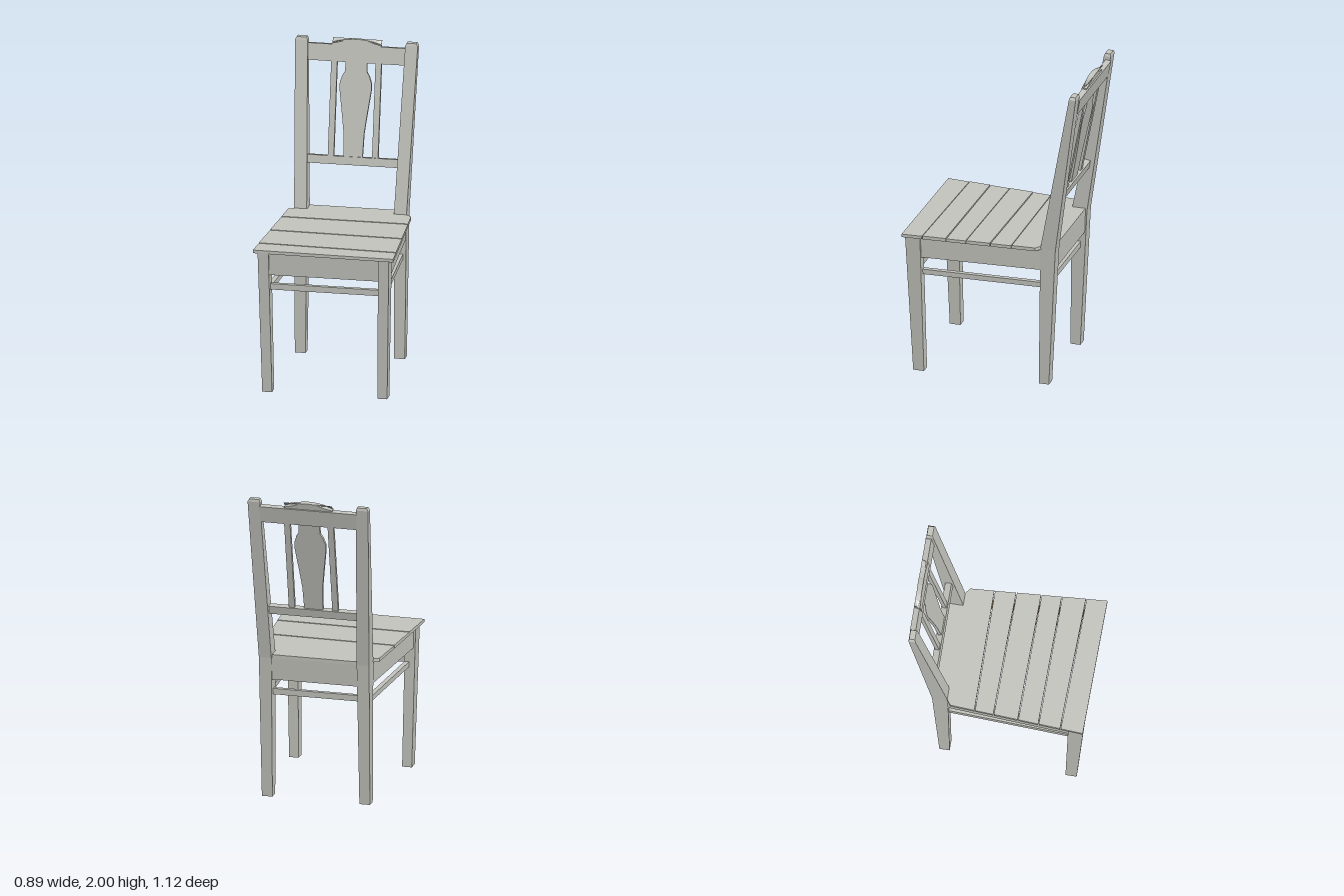
import * as THREE from 'three';

const paint = new THREE.MeshStandardMaterial({ color: 0xc6c6c0 });
paint.name = 'greyPaint';
const rawWood = new THREE.MeshStandardMaterial({ color: 0x6e5036 });
rawWood.name = 'rawWood';

// Ring of four corners at height y, counter-clockwise from above.
const rect = (x0, x1, y, z0, z1) => [[x0, y, z0], [x0, y, z1], [x1, y, z1], [x1, y, z0]];
const plan = (pts, y) => pts.map(([x, z]) => [x, y, z]);
const mirror = (rings) => rings.map((r) => r.map(([x, y, z]) => [-x, y, z]).reverse());

// Flat-faced solid through a stack of convex rings; chosen sides or the bottom may be raw wood.
function loft(name, rings, { rawSides = [], rawBottom = false } = {}) {
  const pos = [];
  const geo = new THREE.BufferGeometry();
  const n = rings[0].length;
  const tri = (a, b, c, raw) => {
    geo.addGroup(pos.length / 3, 3, raw ? 1 : 0);
    pos.push(...a, ...b, ...c);
  };
  for (let r = 0; r + 1 < rings.length; r++) {
    for (let i = 0; i < n; i++) {
      const j = (i + 1) % n, lo = rings[r], up = rings[r + 1], raw = rawSides.includes(i);
      tri(lo[i], lo[j], up[j], raw);
      tri(lo[i], up[j], up[i], raw);
    }
  }
  const bottom = rings[0], top = rings[rings.length - 1];
  for (let i = 1; i + 1 < n; i++) {
    tri(bottom[0], bottom[i + 1], bottom[i], rawBottom);
    tri(top[0], top[i], top[i + 1], false);
  }
  geo.setAttribute('position', new THREE.Float32BufferAttribute(pos, 3));
  geo.computeVertexNormals();
  const mesh = new THREE.Mesh(geo, [paint, rawWood]);
  mesh.name = name;
  return mesh;
}

// Board cut from an outline, its front face at local z = front.
function board(name, pts, depth, front = 0) {
  const shape = new THREE.Shape(pts.map(([x, y]) => new THREE.Vector2(x, y)));
  const geo = new THREE.ExtrudeGeometry(shape, { depth, bevelEnabled: false });
  geo.translate(0, 0, front - depth);
  const mesh = new THREE.Mesh(geo, paint);
  mesh.name = name;
  return mesh;
}
const symmetric = (half) => [...half, ...half.map(([x, y]) => [-x, y]).reverse()];

export function createModel() {
  const chair = new THREE.Group();
  chair.name = 'chair';
  const pair = (name, rings, opts = {}, mirrorOpts = opts) => chair.add(
    loft(name + 'Left', rings, opts), loft(name + 'Right', mirror(rings), mirrorOpts));

  // Tapered front legs and raked back posts with chamfered tops
  pair('frontLeg', [rect(0.333, 0.395, 0, 0.43, 0.5), rect(0.347, 0.415, 0.916, 0.45, 0.547)],
    { rawBottom: true });
  pair('backPost', [
    rect(0.28, 0.348, 0, -0.37, -0.305),
    rect(0.275, 0.355, 0.92, -0.415, -0.316),
    rect(0.309, 0.388, 1.975, -0.558, -0.514),
    rect(0.316, 0.378, 1.992, -0.555, -0.519),
  ], { rawBottom: true });

  // Aprons, bare on the inside
  const sideApron = [[0.325, -0.32], [0.375, 0.46], [0.402, 0.46], [0.35, -0.32]];
  pair('sideApron', [plan(sideApron, 0.775), plan(sideApron, 0.916)],
    { rawSides: [0], rawBottom: false }, { rawSides: [2] });
  chair.add(
    loft('frontApron', [rect(-0.35, 0.35, 0.775, 0.505, 0.53), rect(-0.35, 0.35, 0.916, 0.51, 0.535)],
      { rawSides: [3] }),
    loft('backApron', [rect(-0.28, 0.28, 0.775, -0.4, -0.375), rect(-0.28, 0.28, 0.916, -0.405, -0.375)],
      { rawSides: [1] }));

  // Stretchers
  const sideBar = [[0.305, -0.32], [0.345, 0.46], [0.375, 0.46], [0.335, -0.32]];
  pair('sideStretcher', [plan(sideBar, 0.65), plan(sideBar, 0.683)]);
  for (const [name, w, z] of [['frontStretcher', 0.345, 0.485], ['backStretcher', 0.285, -0.36]]) {
    chair.add(loft(name, [rect(-w, w, 0.67, z - 0.014, z + 0.014), rect(-w, w, 0.708, z - 0.014, z + 0.014)]));
  }

  // Seat planks: slightly skewed joints, given as z at the right and left ends
  const joints = [[-0.295, -0.295], [-0.14, -0.142], [-0.02, -0.006], [0.135, 0.149],
    [0.265, 0.277], [0.404, 0.428], [0.546, 0.56]];
  const halfWidth = (z) => 0.39 + (z + 0.295) * 0.065;
  const gap = 0.0025;
  for (let i = 0; i < 6; i++) {
    const [r0, l0] = joints[i].map((z) => z + (i ? gap : 0));
    const [r1, l1] = joints[i + 1].map((z) => z - (i < 5 ? gap : 0));
    const outline = (inset) => [[-halfWidth(r0) + inset, r0], [-halfWidth(r1) + inset, r1],
      [halfWidth(l1) - inset, l1], [halfWidth(l0) - inset, l0]];
    const pts = outline(0);
    if (i === 0) pts.push([0.355, -0.32], [-0.355, -0.32]);
    const y = 0.938 - (i % 2) * 0.002;
    chair.add(loft('seatPlank' + (i + 1), [plan(pts, 0.916), plan(pts, y)]));

    // Bare underside within the frame
    const under = outline(0.066);
    if (i === 5) { under[1][1] = 0.506; under[2][1] = 0.506; }
    const plate = loft('plankUnderside' + (i + 1), [plan(under, 0.913), plan(under, 0.917)]);
    plate.material = rawWood;
    chair.add(plate);
  }
  chair.add(loft('seatBackStrip', [rect(-0.273, 0.273, 0.916, -0.405, -0.32), rect(-0.273, 0.273, 0.938, -0.405, -0.32)],
    { rawBottom: true }));

  // Tilted back panel
  const back = new THREE.Group();
  back.name = 'backPanel';
  back.position.set(0, 1.218, -0.386);
  back.rotation.x = -Math.atan(0.19);
  chair.add(back);
  back.add(board('lowerRail', symmetric([[0.293, 0], [0.295, 0.052]]), 0.04));
  back.add(board('topRail', symmetric([[0.31, 0.643], [0.314, 0.75]]), 0.036));
  back.add(board('crest', symmetric([[0.155, 0.7], [0.155, 0.758], [0.11, 0.768], [0.06, 0.784], [0.02, 0.792]]),
    0.032, 0.005));
  back.add(board('splat', symmetric([[0.06, 0.045], [0.065, 0.2], [0.08, 0.32], [0.101, 0.475],
    [0.1, 0.515], [0.085, 0.56], [0.07, 0.585], [0.067, 0.65]]), 0.02, -0.008));
  for (const s of [-1, 1]) {
    const x = s * 0.14;
    back.add(board(s > 0 ? 'slatLeft' : 'slatRight',
      [[x - 0.019, 0.045], [x + 0.019, 0.045], [x + 0.019, 0.65], [x - 0.019, 0.65]], 0.024, -0.006));
  }

  // Thin crest cap: arched front edge, straight back edge
  const cap = new THREE.BoxGeometry(0.31, 0.005, 1, 8, 1, 1);
  const p = cap.attributes.position;
  for (let i = 0; i < p.count; i++) {
    const bow = (p.getX(i) / 0.155) ** 2, front = p.getZ(i) > 0;
    p.setY(i, p.getY(i) + (front ? 1.993 - 0.028 * bow : 1.987));
    p.setZ(i, front ? -0.526 - 0.008 * bow : -0.559);
  }
  const flatCap = cap.toNonIndexed();
  flatCap.computeVertexNormals();
  const capMesh = new THREE.Mesh(flatCap, paint);
  capMesh.name = 'crestCap';
  chair.add(capMesh);
  return chair;
}
